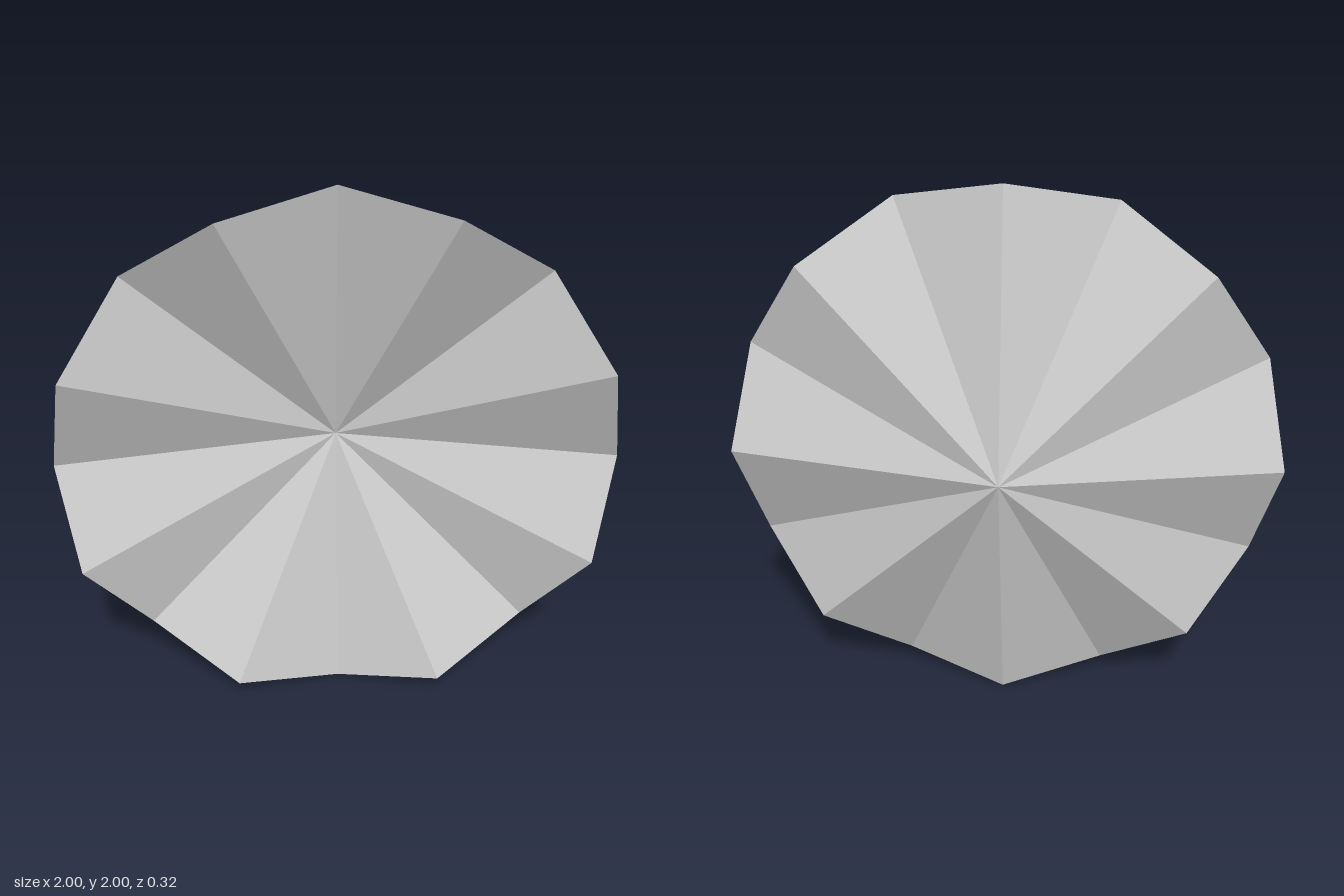
import * as THREE from 'three';

const PANELS = 8;
const HUB_Z = -0.16;    // centre point, furthest back
const VALLEY_Z = 0.035; // rim height at the seams between panels
const RIDGE_Z = 0.16;   // rim height at the fold in the middle of each panel

// Point on the unit rim, counter-clockwise as seen from the front
const rim = (angle, z) => [Math.cos(angle), Math.sin(angle), z];

// One folded panel: two triangles meeting along the ridge
function panelGeometry() {
  const half = Math.PI / PANELS;
  const hub = [0, 0, HUB_Z];
  const ridge = rim(0, RIDGE_Z);
  const corners = [
    hub, rim(-half, VALLEY_Z), ridge,
    hub, ridge, rim(half, VALLEY_Z),
  ];
  const geometry = new THREE.BufferGeometry();
  geometry.setAttribute('position', new THREE.Float32BufferAttribute(corners.flat(), 3));
  geometry.computeVertexNormals();
  return geometry;
}

export function createModel() {
  const model = new THREE.Group();
  model.name = 'pleatedDisc';
  const material = new THREE.MeshStandardMaterial({
    color: 0xcccccc, flatShading: true, side: THREE.DoubleSide,
  });
  const geometry = panelGeometry();

  // Folded panels fanned around the hub, with seams on the axes and diagonals
  for (let i = 0; i < PANELS; i++) {
    const panel = new THREE.Mesh(geometry, material);
    panel.name = `foldedPanel${i + 1}`;
    panel.position.y = 1;
    panel.rotation.z = ((i + 0.5) * 2 * Math.PI) / PANELS;
    model.add(panel);
  }
  return model;
}
